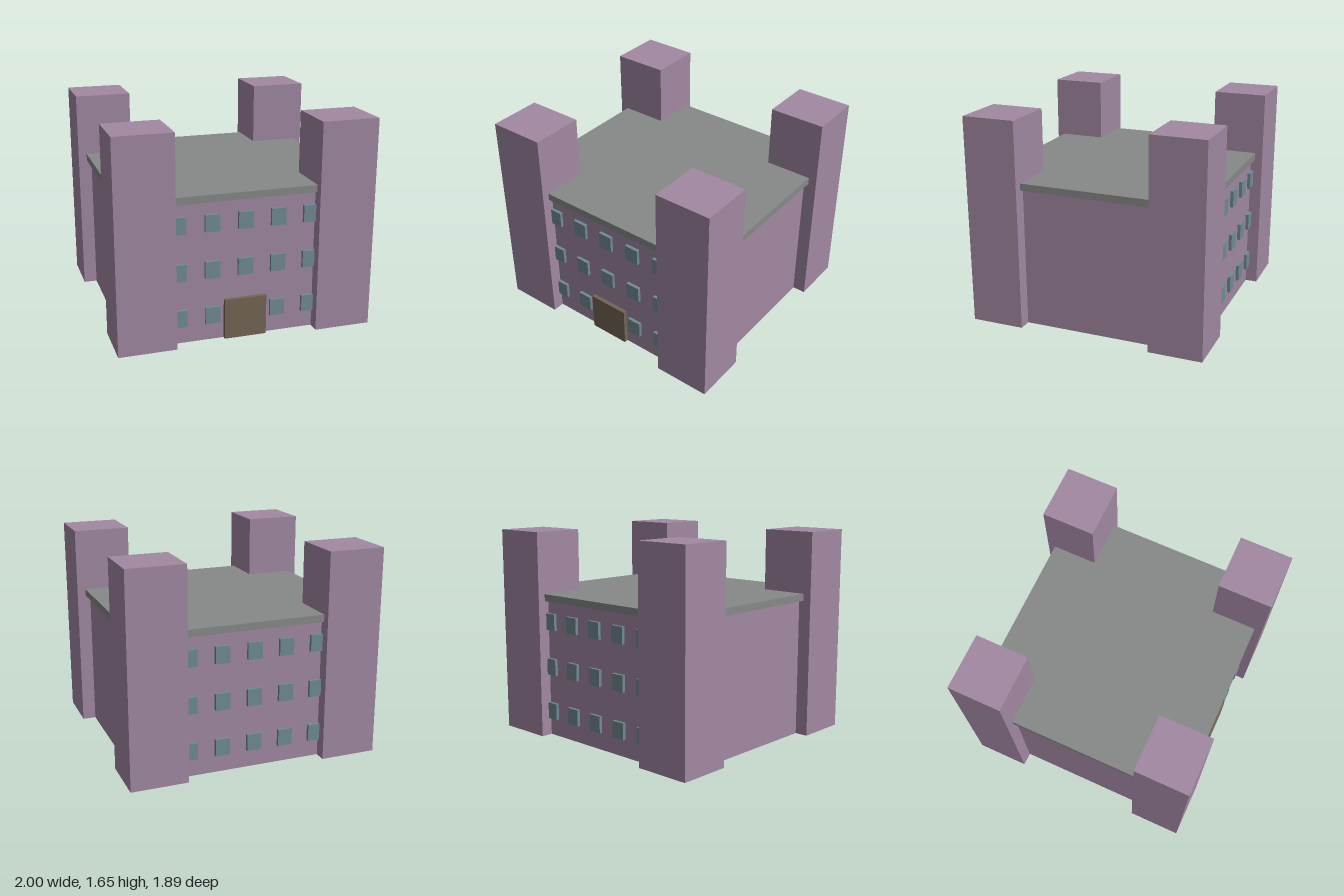
import * as THREE from 'three';

const material = (name, hex) => {
  const m = new THREE.MeshStandardMaterial({ color: hex });
  m.name = name;
  return m;
};

export function createModel() {
  const model = new THREE.Group();
  model.name = 'castle';

  const stone = material('mauve stone', 0xa188a2);
  const slate = material('grey roof', 0x868987);
  const glass = material('blue grey glass', 0x708b93);
  const wood = material('brown wood', 0x736553);

  // Box given by its size, base height and ground position
  const addBox = (name, mat, [w, h, d], x, y, z) => {
    const mesh = new THREE.Mesh(new THREE.BoxGeometry(w, h, d), mat);
    mesh.name = name;
    mesh.position.set(x, y + h / 2, z);
    model.add(mesh);
  };

  // Main block and overhanging flat roof
  addBox('mainWalls', stone, [1.79, 1.1, 1.7], 0, 0, 0);
  addBox('roof', slate, [1.866, 0.056, 1.77], 0, 1.1, 0);

  // Corner towers
  for (const sx of [-1, 1]) {
    for (const sz of [-1, 1]) {
      addBox('cornerTower', stone, [0.447, 1.647, 0.422], sx * 0.7765, 0, sz * 0.734);
    }
  }

  // Front door
  addBox('door', wood, [0.33, 0.316, 0.06], 0, 0, 0.852);

  // Window rows on front and back; the door replaces the lower middle front one
  for (const side of [-1, 1]) {
    for (let row = 0; row < 3; row++) {
      for (let col = -2; col <= 2; col++) {
        if (side === 1 && row === 0 && col === 0) continue;
        addBox(side === 1 ? 'frontWindow' : 'backWindow', glass,
          [0.115, 0.132, 0.05], col * 0.257, 0.139 + row * 0.365, side * 0.85);
      }
    }
  }

  return model;
}
